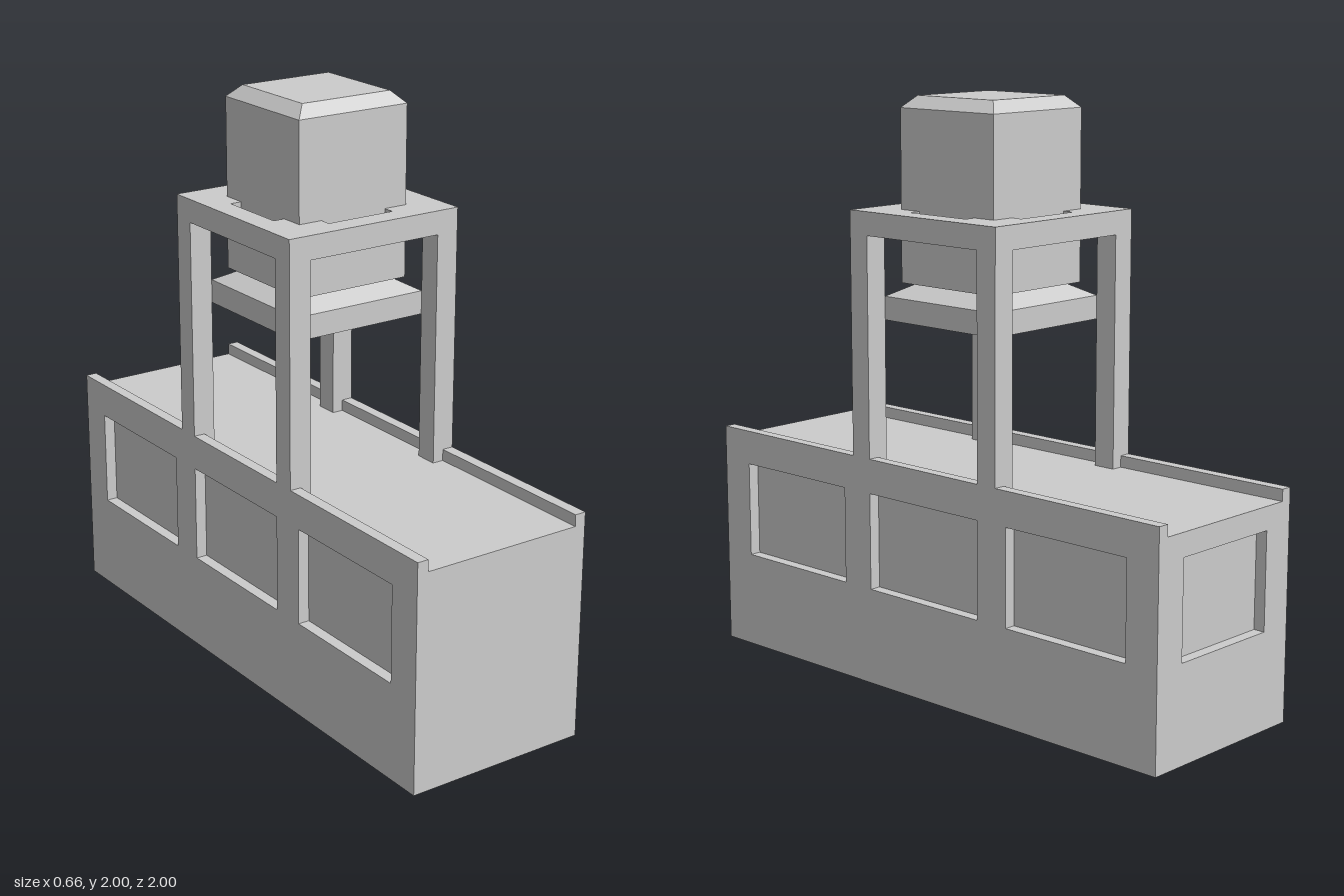
import * as THREE from 'three';

const material = new THREE.MeshStandardMaterial({ color: 0xcccccc, flatShading: true });

export function createModel() {
  const model = new THREE.Group();

  const add = (name, geometry, x = 0, y = 0, z = 0) => {
    const mesh = new THREE.Mesh(geometry, material);
    mesh.name = name;
    mesh.position.set(x, y, z);
    model.add(mesh);
    return mesh;
  };

  const rect = (Type, x0, x1, y0, y1) => new Type([
    [x0, y0], [x1, y0], [x1, y1], [x0, y1],
  ].map(([x, y]) => new THREE.Vector2(x, y)));

  const extrude = (shape, depth) =>
    new THREE.ExtrudeGeometry(shape, { depth, bevelEnabled: false });

  // Square block, half widths given at its bottom and top
  const taper = (name, bottom, top, y0, y1) => {
    const geometry = new THREE.CylinderGeometry(top * Math.SQRT2, bottom * Math.SQRT2, y1 - y0, 4);
    geometry.rotateY(Math.PI / 4);
    return add(name, geometry, 0, (y0 + y1) / 2, 0);
  };

  // Base body, flush at the front
  add('baseCore', new THREE.BoxGeometry(0.58, 0.75, 1.96), 0, 0.375, 0.02);

  // Side walls: three window recesses each, rising above the deck as rails
  const wall = rect(THREE.Shape, -1, 1, 0, 0.79);
  for (const z of [-0.625, 0, 0.625])
    wall.holes.push(rect(THREE.Path, z - 0.25, z + 0.25, 0.335, 0.67));
  const wallGeometry = extrude(wall, 0.04).rotateY(-Math.PI / 2);
  add('leftWall', wallGeometry, 0.33);
  add('rightWall', wallGeometry, -0.29);

  // Back wall with one recess
  const back = rect(THREE.Shape, -0.29, 0.29, 0, 0.75);
  back.holes.push(rect(THREE.Path, -0.21, 0.21, 0.335, 0.67));
  add('backWall', extrude(back, 0.04), 0, 0, -1);

  // Four tower legs
  const leg = new THREE.BoxGeometry(0.08, 0.795, 0.08);
  for (const x of [-0.29, 0.29])
    for (const z of [-0.29, 0.29]) add('towerLeg', leg, x, 1.1475, z);

  // Top plate: square opening with a notch in the middle of each side
  const plate = rect(THREE.Shape, -0.33, 0.33, -0.33, 0.33);
  const opening = [];
  for (let i = 0; i < 4; i++)
    for (const [x, y] of [[0.21, -0.21], [0.21, -0.125], [0.25, -0.125], [0.25, 0.125], [0.21, 0.125]])
      opening.push(new THREE.Vector2(x, y).rotateAround(new THREE.Vector2(), i * Math.PI / 2));
  plate.holes.push(new THREE.Path(opening));
  add('topPlate', extrude(plate, 0.08).rotateX(-Math.PI / 2), 0, 1.545, 0);

  // Hanging block with chamfered cap and flared foot
  taper('footSlab', 0.25, 0.25, 1.255, 1.335);
  taper('footSlope', 0.25, 0.17, 1.335, 1.38);
  taper('block', 0.21, 0.21, 1.38, 1.96);
  taper('blockCap', 0.21, 0.17, 1.96, 2);

  return model;
}
